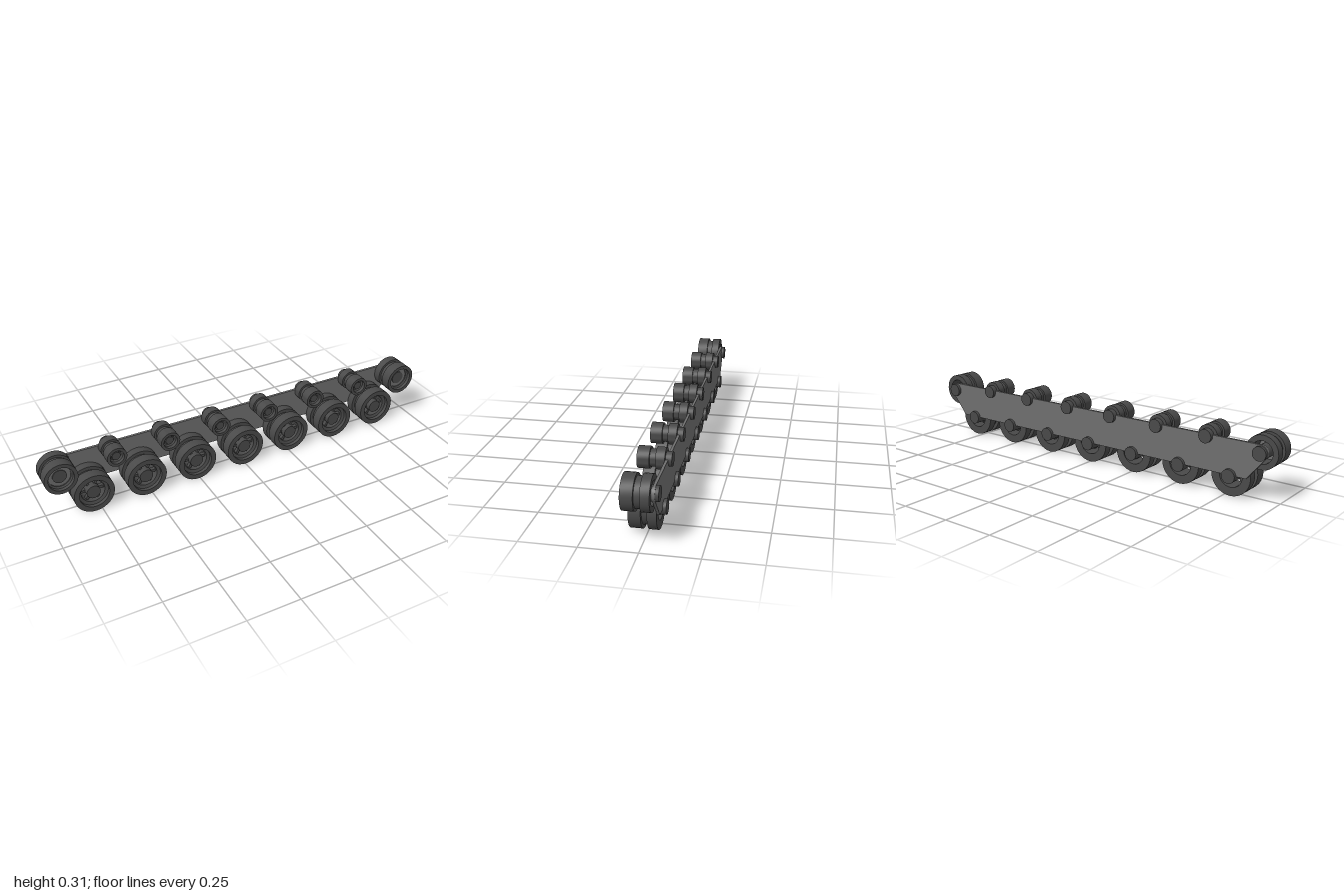
import * as THREE from 'three';
import { toCreasedNormals } from 'three/addons/utils/BufferGeometryUtils.js';

const wheelMat = new THREE.MeshStandardMaterial({ color: 0x494949 });
wheelMat.name = 'dark wheel grey';
const plateMat = new THREE.MeshStandardMaterial({ color: 0x6e6e6e });
plateMat.name = 'plate grey';

function mesh(name, geo, mat, z = 0) {
  const m = new THREE.Mesh(geo, mat);
  m.name = name;
  m.position.z = z;
  return m;
}

// Ring turned about the z axis from a closed [radius, z] outline
function turned(points, sides = 32) {
  const geo = new THREE.LatheGeometry(points.map(p => new THREE.Vector2(p[0], p[1])), sides);
  geo.rotateX(Math.PI / 2);
  return toCreasedNormals(geo, 0.6);
}

function disc(radius, back, front, sides = 24) {
  const geo = new THREE.CylinderGeometry(radius, radius, front - back, sides);
  geo.rotateX(Math.PI / 2);
  return geo.translate(0, 0, (front + back) / 2);
}

// Twin rims with a groove between them and an open bore, stepped at the front
function rims(radius, groove, step, bore) {
  return turned([
    [bore, -0.046], [radius, -0.046], [radius, -0.006], [groove, -0.006],
    [groove, 0.02], [radius, 0.02], [radius, 0.073], [step, 0.073],
    [step, 0.055], [bore, 0.05], [bore, -0.046],
  ]);
}

function roadWheel() {
  const g = new THREE.Group();
  g.name = 'roadWheel';
  g.add(mesh('tyres', rims(0.097, 0.08, 0.072, 0.057), wheelMat));
  g.add(mesh('axle', disc(0.033, -0.073, 0.06), wheelMat));
  // Spokes joining the axle to the rim
  for (let i = 0; i < 6; i++) {
    const a = i * Math.PI / 3;
    const spoke = mesh('spoke', new THREE.BoxGeometry(0.034, 0.013, 0.02), wheelMat, 0.025);
    spoke.position.x = 0.044 * Math.cos(a);
    spoke.position.y = 0.044 * Math.sin(a);
    spoke.rotation.z = a;
    g.add(spoke);
  }
  return g;
}

function endWheel() {
  const g = new THREE.Group();
  g.name = 'endWheel';
  g.add(mesh('rims', rims(0.078, 0.066, 0.06, 0.052), wheelMat));
  g.add(mesh('face', disc(0.054, 0.035, 0.045), plateMat));
  g.add(mesh('axle', disc(0.033, -0.073, 0.05), wheelMat));
  return g;
}

function returnRoller() {
  const g = new THREE.Group();
  g.name = 'returnRoller';
  g.add(mesh('rims', rims(0.048, 0.038, 0.034, 0.026), wheelMat));
  g.add(mesh('axle', disc(0.032, -0.073, -0.04), wheelMat));
  g.add(mesh('hub', disc(0.02, -0.046, 0.06), wheelMat));
  g.add(mesh('web', disc(0.027, 0.02, 0.035), wheelMat));
  return g;
}

// Long side plate, rounded round both end axles
function sidePlate() {
  const s = new THREE.Shape();
  const down = -0.62;
  s.moveTo(-0.86, 0.1);
  s.lineTo(0.86, 0.1);
  s.absarc(0.92, 0.23, 0.036, down, Math.PI / 2, false);
  s.absarc(-0.92, 0.23, 0.036, Math.PI / 2, Math.PI - down, false);
  s.closePath();
  const geo = new THREE.ExtrudeGeometry(s, { depth: 0.012, bevelEnabled: false, curveSegments: 12 });
  return mesh('sidePlate', geo, plateMat, -0.058);
}

export function createModel() {
  const model = new THREE.Group();
  model.name = 'runningGear';
  model.add(sidePlate());
  const place = (part, x, y) => {
    part.position.set(x, y, 0);
    model.add(part);
  };
  for (let i = -3; i <= 3; i++) place(roadWheel(), i * 0.26, 0.098);
  for (let i = -2.5; i <= 2.5; i++) place(returnRoller(), i * 0.263, 0.258);
  for (const side of [-1, 1]) place(endWheel(), side * 0.922, 0.229);
  return model;
}
